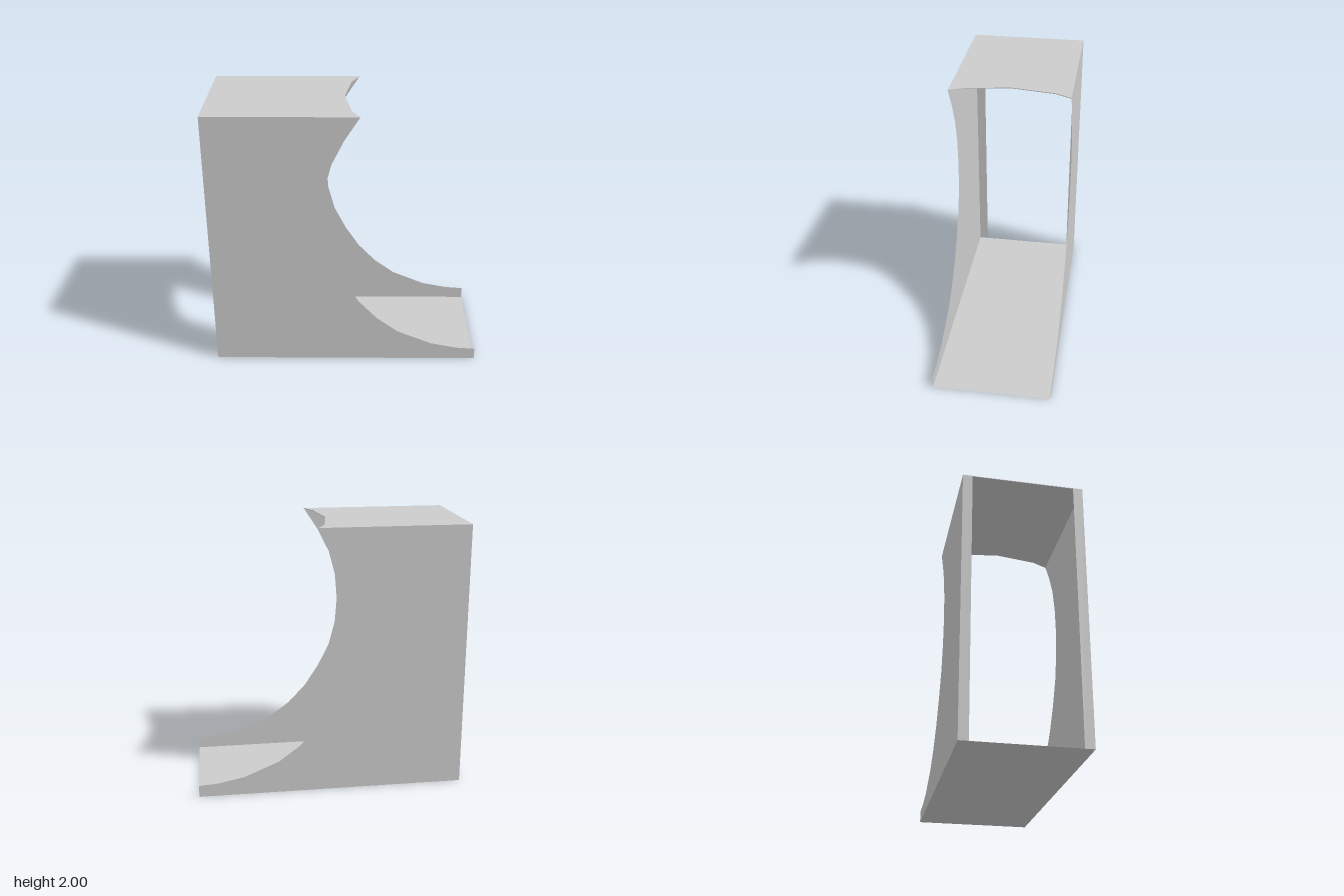
import * as THREE from 'three';

const HALF_DEPTH = 0.44;
const LIP = 0.07;

// Concave front edge of the side panels, bottom to top
const CUT = [
  [1, 0.09], [0.86, 0.1], [0.66, 0.14], [0.4, 0.25], [0.24, 0.37], [0.1, 0.52],
  [-0.01, 0.69], [-0.1, 0.87], [-0.15, 1.06], [-0.165, 1.26], [-0.15, 1.46],
  [-0.1, 1.65], [-0.01, 1.83], [0.1, 2],
];

// Scooped front edge of the top sheet, as x and z
const SCOOP = [[0.1, -HALF_DEPTH], [0.04, -0.32], [-0.01, 0], [0.04, 0.32], [0.1, HALF_DEPTH]];

const outline = (points) => new THREE.Shape(points.map(([x, y]) => new THREE.Vector2(x, y)));

export function createModel() {
  const model = new THREE.Group();
  model.name = 'openBin';
  const sheet = new THREE.MeshStandardMaterial({
    color: 0xcccccc, side: THREE.DoubleSide, flatShading: true,
  });

  function add(name, geometry, x = 0, y = 0, z = 0) {
    const mesh = new THREE.Mesh(geometry, sheet);
    mesh.name = name;
    mesh.position.set(x, y, z);
    model.add(mesh);
  }

  // Thin side panels, each with a narrow lip folded inward at the open end
  const panel = new THREE.ShapeGeometry(outline([[-1, 0], [1, 0], ...CUT, [-1, 2]]));
  const lip = new THREE.PlaneGeometry(LIP, 2).rotateY(-Math.PI / 2);
  for (const [side, s] of [['front', 1], ['back', -1]]) {
    add(`${side}Panel`, panel, 0, 0, s * HALF_DEPTH);
    add(`${side}Lip`, lip, -1, 1, s * (HALF_DEPTH - LIP / 2));
  }

  // Flat floor sheet
  add('floor', new THREE.PlaneGeometry(2, 2 * HALF_DEPTH).rotateX(-Math.PI / 2));

  // Top sheet with a scooped front edge
  const top = new THREE.ExtrudeGeometry(
    outline([[-1, -HALF_DEPTH], ...SCOOP, [-1, HALF_DEPTH]]),
    { depth: 0.005, bevelEnabled: false },
  ).rotateX(Math.PI / 2);
  add('top', top, 0, 2, 0);

  return model;
}
